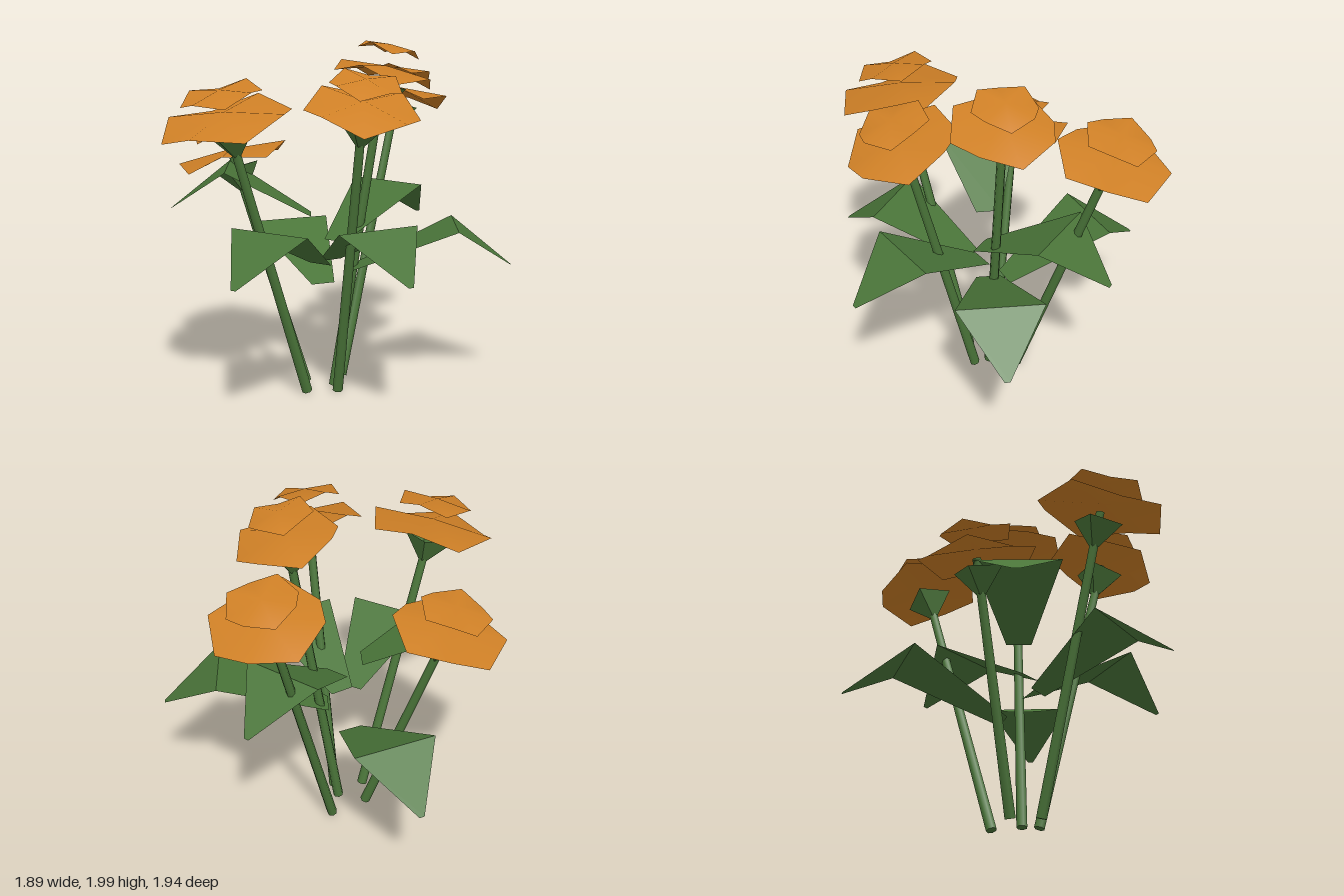
import * as THREE from 'three';

const green = new THREE.MeshStandardMaterial({ color: 0x4a7539, side: THREE.DoubleSide });
green.name = 'leaf green';
const orange = new THREE.MeshStandardMaterial({ color: 0xcf8026, side: THREE.DoubleSide });
orange.name = 'petal orange';

const UP = new THREE.Vector3(0, 1, 0);

function addMesh(parent, name, geometry, material) {
  const mesh = new THREE.Mesh(geometry, material);
  mesh.name = name;
  parent.add(mesh);
  return mesh;
}

function indexed(points, index) {
  const g = new THREE.BufferGeometry();
  g.setAttribute('position', new THREE.Float32BufferAttribute(points, 3));
  g.setIndex(index);
  return g;
}

// Shallow eight-sided dome whose rim corners go up and down in turn
function petalDisk(radius, wave, rise, phase) {
  const points = [0, rise, 0], index = [];
  for (let k = 0; k < 8; k++) {
    const a = THREE.MathUtils.degToRad(phase + 45 * k);
    points.push(radius * Math.cos(a), k % 2 ? -wave : wave, radius * Math.sin(a));
    index.push(0, 1 + (k + 1) % 8, 1 + k);
  }
  const g = indexed(points, index);
  g.computeVertexNormals();
  return g;
}

// Folded leaf: narrow foot, wide level fold, narrow drooping tip
function leafGeometry([bx, bz], [mx, mz], y) {
  const length = Math.hypot(mx - bx, mz - bz);
  const dx = (mx - bx) / length, dz = (mz - bz) / length;
  const rows = [[0, y - 0.275, 0.07], [length, y, 0.24], [length + 0.32, y - 0.235, 0.015]];
  const points = [];
  for (const [t, h, w] of rows) {
    for (const s of [-1, 1]) points.push(bx + dx * t - dz * w * s, h, bz + dz * t + dx * w * s);
  }
  const g = indexed(points, [0, 1, 2, 1, 3, 2, 2, 3, 4, 3, 5, 4]).toNonIndexed();
  g.computeVertexNormals();
  return g;
}

// foot and head: stem ends; slope: rise of the bloom along x and z
const flowers = [
  { foot: [-0.06, -0.15], head: [0.12, 1.64, -0.67], slope: [-0.08, 0.25], r: 0.305, top: 0.19, phase: -2 },
  { foot: [-0.22, 0.02], head: [-0.67, 1.32, 0], slope: [0.24, 0], r: 0.32, top: 0.2, phase: -14 },
  { foot: [-0.16, 0.17], head: [-0.43, 1.61, 0.62], slope: [0.11, -0.24], r: 0.355, top: 0.215, phase: 8 },
  { foot: [-0.05, 0.02], head: [0.2, 1.81, -0.11], slope: [-0.19, 0.11], r: 0.285, top: 0.175, phase: 12 },
  { foot: [0, 0.1], head: [0.245, 1.67, 0.42], slope: [-0.19, -0.24], r: 0.305, top: 0.19, phase: 25 },
];

// foot centre, fold centre (x, z) and fold height
const leaves = [
  [[-0.14, -0.055], [-0.51, -0.49], 0.87],
  [[0.01, 0.01], [0.605, -0.185], 0.975],
  [[-0.03, 0.07], [0.14, -0.415], 1.16],
  [[-0.09, 0.13], [-0.2, 0.625], 1.035],
  [[-0.06, 0.06], [0.335, 0.42], 1.045],
  [[-0.175, 0.05], [-0.615, 0.21], 1.3],
];

function makeFlower({ foot, head, slope, r, top, phase }) {
  const flower = new THREE.Group();
  flower.name = 'flower';
  const base = new THREE.Vector3(foot[0], 0.015, foot[1]);
  const tip = new THREE.Vector3(...head);
  const axis = tip.clone().sub(base);
  const length = axis.length();
  axis.normalize();
  const along = new THREE.Quaternion().setFromUnitVectors(UP, axis);

  const stem = addMesh(flower, 'stem', new THREE.CylinderGeometry(0.024, 0.03, length, 7), green);
  stem.position.copy(base).lerp(tip, 0.5);
  stem.quaternion.copy(along);

  // Open four-sided cup below the bloom
  const cup = new THREE.CylinderGeometry(0.14, 0.024, 0.14, 4, 1, true).toNonIndexed();
  cup.computeVertexNormals();
  const calyx = addMesh(flower, 'calyx', cup, green);
  calyx.position.copy(tip).addScaledVector(axis, -0.13);
  calyx.quaternion.copy(along);

  // Two stacked petal layers, tilted outward
  const bloom = new THREE.Group();
  bloom.name = 'bloom';
  bloom.position.copy(tip);
  bloom.quaternion.setFromUnitVectors(UP, new THREE.Vector3(-slope[0], 1, -slope[1]).normalize());
  addMesh(bloom, 'lowerPetals', petalDisk(r, 0.03, 0.05, phase), orange);
  addMesh(bloom, 'upperPetals', petalDisk(top, 0.02, 0.03, phase + 10), orange).position.y = 0.14;
  flower.add(bloom);
  return flower;
}

export function createModel() {
  const model = new THREE.Group();
  model.name = 'flowerBunch';
  for (const f of flowers) model.add(makeFlower(f));
  for (const [foot, fold, y] of leaves) addMesh(model, 'leaf', leafGeometry(foot, fold, y), green);
  return model;
}
